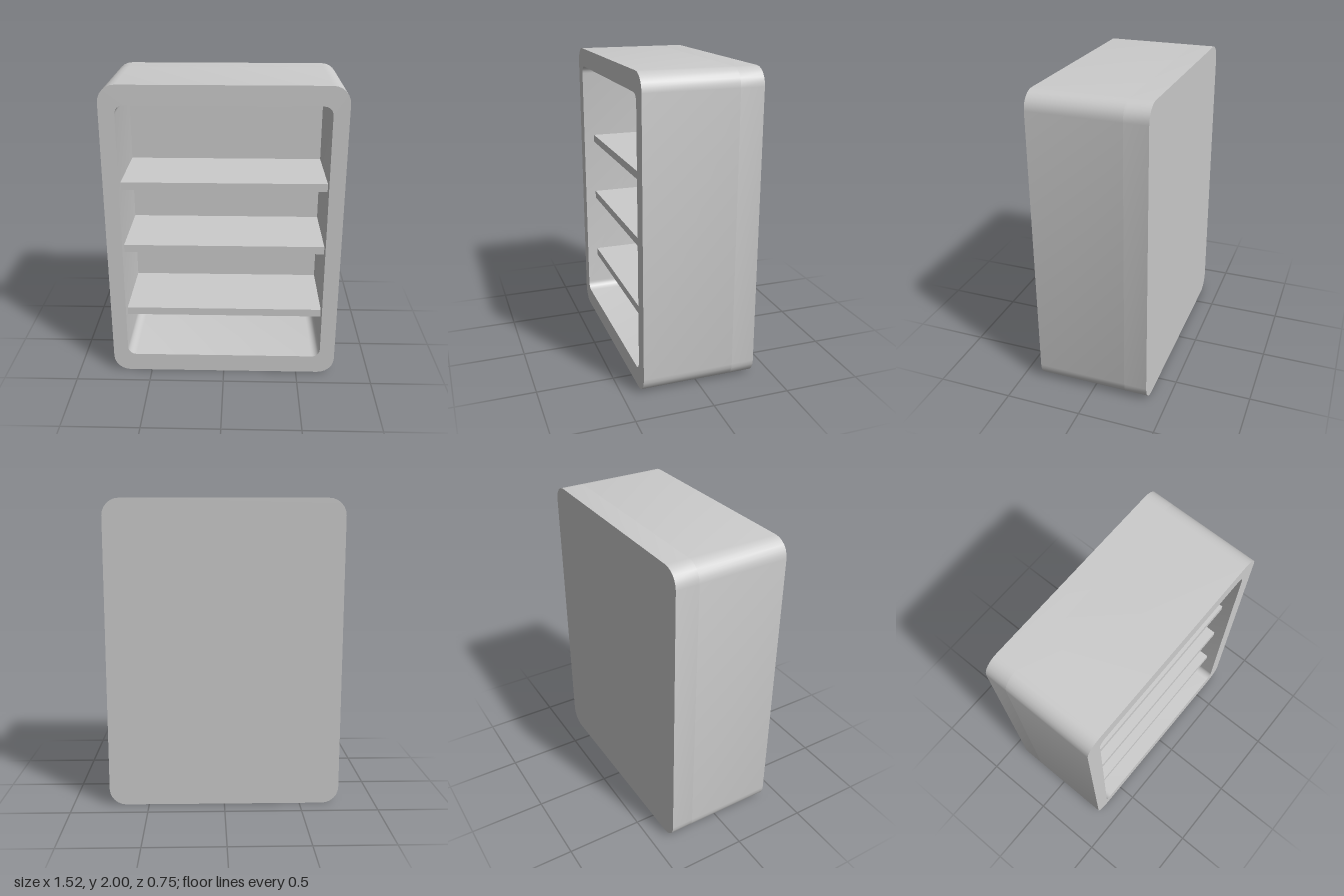
import * as THREE from 'three';
import { toCreasedNormals } from 'three/addons/utils/BufferGeometryUtils.js';

const W = 1.52, H = 2, D = 0.745;        // outer size
const IW = 1.32, IH = 1.75;              // opening size
const BACK = 0.15;                       // back thickness
const backZ = -D / 2 + BACK;             // inner face of the back

// Rounded rectangle centred on the origin
function roundedRect(target, w, h, r) {
  const x = w / 2, y = h / 2, q = Math.PI / 2;
  target.moveTo(x, -y + r);
  target.absarc(x - r, y - r, r, 0, q, false);
  target.absarc(-x + r, y - r, r, q, 2 * q, false);
  target.absarc(-x + r, -y + r, r, 2 * q, 3 * q, false);
  target.absarc(x - r, -y + r, r, 3 * q, 4 * q, false);
  target.closePath();
  return target;
}

export function createModel() {
  const group = new THREE.Group();
  group.name = 'bookcase';
  const material = new THREE.MeshStandardMaterial({ color: 0xcccccc });

  function add(name, geometry, x, y, z) {
    const mesh = new THREE.Mesh(geometry, material);
    mesh.name = name;
    mesh.position.set(x, y, z);
    group.add(mesh);
  }
  const extrude = (shape, depth) => toCreasedNormals(
    new THREE.ExtrudeGeometry(shape, { depth, bevelEnabled: false, curveSegments: 3 }), 0.7);

  // Rounded frame around the opening
  const frame = roundedRect(new THREE.Shape(), W, H, 0.11);
  frame.holes.push(roundedRect(new THREE.Path(), IW, IH, 0.055));
  add('frame', extrude(frame, D - BACK), 0, H / 2, backZ);

  // Solid back panel
  add('backPanel', extrude(roundedRect(new THREE.Shape(), W, H, 0.11), BACK), 0, H / 2, -D / 2);

  // Shelves, set back slightly from the front
  const shelfFront = 0.3, shelfDepth = shelfFront - backZ;
  [0.425, 0.895, 1.333].forEach((y, i) => {
    add(`shelf${i + 1}`, new THREE.BoxGeometry(IW, 0.052, shelfDepth), 0, y, backZ + shelfDepth / 2);
  });

  return group;
}
